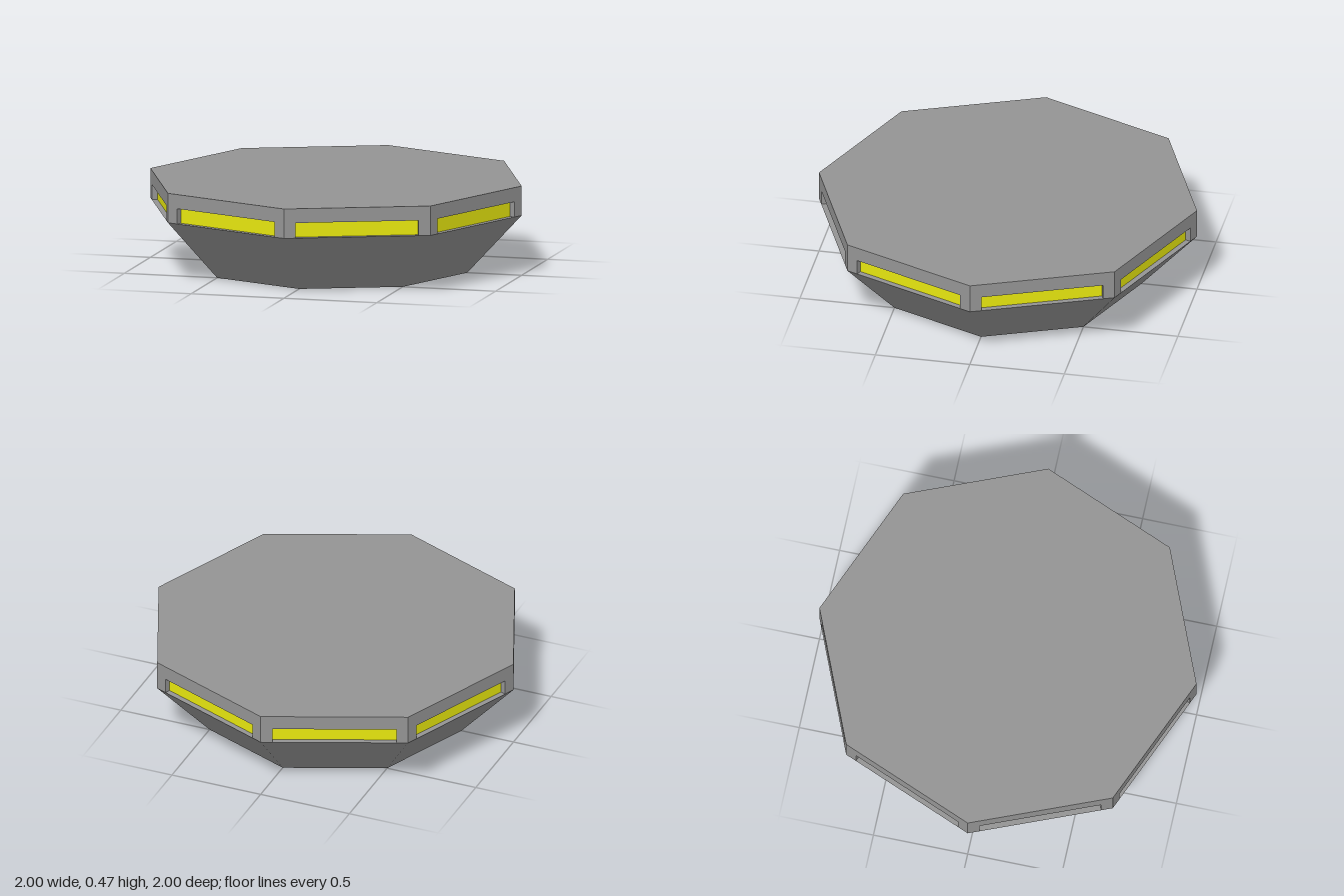
import * as THREE from 'three';

const SIDES = 8;
const RIM_Y = 0.315;                               // where the slope meets the band
const TOP_Y = 0.47;
const FACET = 2 * Math.sin(Math.PI / SIDES);       // width of one band facet
const APOTHEM = Math.cos(Math.PI / SIDES);
const WIN_W = FACET * 0.84;
const WIN_H = 0.08;
const RECESS = 0.03;

export function createModel() {
  const model = new THREE.Group();
  const gray = new THREE.MeshStandardMaterial({ color: 0x949494, flatShading: true, side: THREE.DoubleSide });
  gray.name = 'gray hull';
  const yellow = new THREE.MeshStandardMaterial({ color: 0xe8e80f, flatShading: true, side: THREE.DoubleSide });
  yellow.name = 'yellow window';

  const add = (parent, name, geometry, material, x = 0, y = 0, z = 0) => {
    const mesh = new THREE.Mesh(geometry, material);
    mesh.name = name;
    mesh.position.set(x, y, z);
    parent.add(mesh);
    return mesh;
  };

  // Thin sloping skirt, open underneath
  add(model, 'lowerSkirt', new THREE.CylinderGeometry(1, 0.707, RIM_Y, SIDES, 1, true), gray, 0, RIM_Y / 2, 0);

  // Flat octagonal roof
  add(model, 'roof', new THREE.CircleGeometry(1, SIDES).rotateX(-Math.PI / 2), gray, 0, TOP_Y, 0);

  // Band facet outline, notched from its lower edge for the window
  const w = FACET / 2, h = TOP_Y - RIM_Y, ww = WIN_W / 2;
  const outline = new THREE.Shape([
    [-w, 0], [-ww, 0], [-ww, WIN_H], [ww, WIN_H], [ww, 0], [w, 0], [w, h], [-w, h],
  ].map(([x, y]) => new THREE.Vector2(x, y)));
  const wallGeometry = new THREE.ShapeGeometry(outline);
  const windowGeometry = new THREE.PlaneGeometry(WIN_W, WIN_H);
  const ledgeGeometry = new THREE.PlaneGeometry(WIN_W, RECESS).rotateX(-Math.PI / 2);
  const lintelGeometry = new THREE.PlaneGeometry(WIN_W, RECESS).rotateX(Math.PI / 2);
  const jambGeometry = new THREE.PlaneGeometry(RECESS, WIN_H).rotateY(Math.PI / 2);
  const jambFlipped = new THREE.PlaneGeometry(RECESS, WIN_H).rotateY(-Math.PI / 2);

  // Eight facets, each with a recessed window
  for (let i = 0; i < SIDES; i++) {
    const facet = new THREE.Group();
    facet.name = 'bandFacet' + (i + 1);
    facet.position.y = RIM_Y;
    facet.rotation.y = ((i + 0.5) / SIDES) * Math.PI * 2;
    const mid = APOTHEM - RECESS / 2;
    add(facet, 'wall', wallGeometry, gray, 0, 0, APOTHEM);
    add(facet, 'window', windowGeometry, yellow, 0, WIN_H / 2, APOTHEM - RECESS);
    add(facet, 'sill', ledgeGeometry, gray, 0, 0, mid);
    add(facet, 'lintel', lintelGeometry, gray, 0, WIN_H, mid);
    add(facet, 'rightJamb', jambGeometry, gray, -ww, WIN_H / 2, mid);
    add(facet, 'leftJamb', jambFlipped, gray, ww, WIN_H / 2, mid);
    model.add(facet);
  }
  return model;
}
